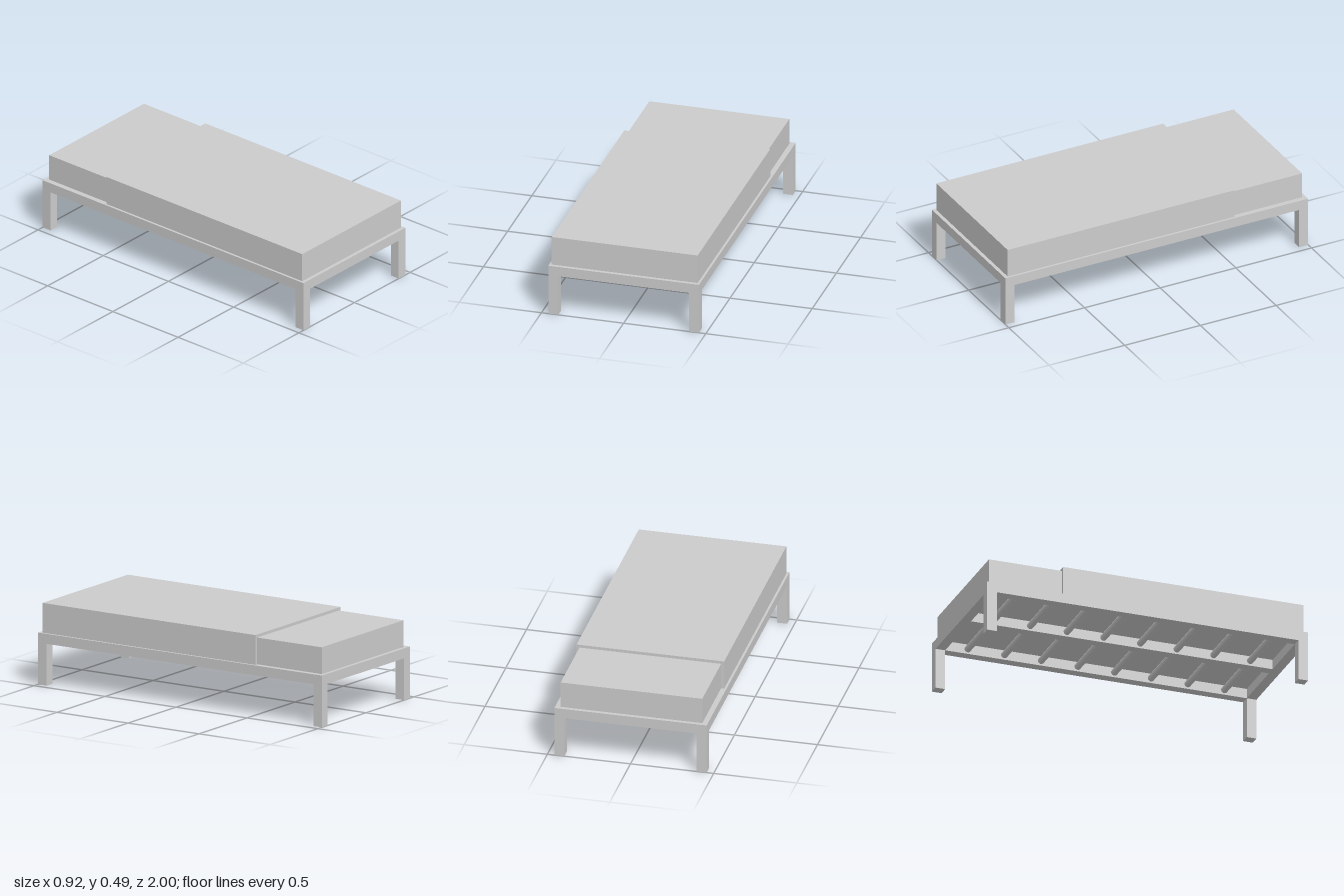
import * as THREE from 'three';

export function createModel() {
  const model = new THREE.Group();
  const mat = new THREE.MeshStandardMaterial({ color: 0xcccccc });

  const add = (name, geometry, x, y, z) => {
    const mesh = new THREE.Mesh(geometry, mat);
    mesh.name = name;
    mesh.position.set(x, y, z);
    model.add(mesh);
    return mesh;
  };
  // Box given by its minimum and maximum on each axis
  const box = (name, [x0, x1], [y0, y1], [z0, z1]) =>
    add(name, new THREE.BoxGeometry(x1 - x0, y1 - y0, z1 - z0),
      (x0 + x1) / 2, (y0 + y1) / 2, (z0 + z1) / 2);

  const W = 0.458, L = 1, T = 0.06;      // half width, half length, timber size
  const top = 0.31, under = top - T;     // frame heights
  const inX = W - T, inZ = L - T;

  // Legs, running up to the top of the frame
  for (const sx of [-1, 1]) for (const sz of [-1, 1]) {
    add(sz > 0 ? 'frontLeg' : 'backLeg', new THREE.BoxGeometry(T, top, T),
      sx * (W - T / 2), top / 2, sz * (L - T / 2));
  }

  // Rails between the legs and the middle beam
  box('leftRail', [inX, W], [under, top], [-inZ, inZ]);
  box('rightRail', [-W, -inX], [under, top], [-inZ, inZ]);
  box('frontRail', [-inX, inX], [under, top], [inZ, L]);
  box('backRail', [-inX, inX], [under, top], [-L, -inZ]);
  box('middleBeam', [-T / 2, T / 2], [under, top], [-inZ, inZ]);

  // Round slats on both sides of the beam
  const slats = 8, reach = 0.8, slatLength = inX - T / 2;
  for (let i = 0; i < slats; i++) {
    const z = -reach + (2 * reach * i) / (slats - 1);
    for (const s of [-1, 1]) {
      const geo = new THREE.CylinderGeometry(0.02, 0.02, slatLength, 24, 1, true);
      add('slat', geo.rotateZ(Math.PI / 2), s * (T / 2 + slatLength / 2), top - T / 2, z);
    }
  }

  // Mattress
  const mx = 0.426, my = 0.47, c = 0.018;  // c: cover thickness
  box('mattress', [-mx, mx], [top, my], [-0.977, 0.96]);

  // Cover wrapped over the top, sides and front end
  const u = new THREE.Shape([
    [-mx - c, top], [-mx, top], [-mx, my], [mx, my],
    [mx, top], [mx + c, top], [mx + c, my + c], [-mx - c, my + c],
  ].map(([x, y]) => new THREE.Vector2(x, y)));
  add('cover', new THREE.ExtrudeGeometry(u, { depth: 1.5, bevelEnabled: false }), 0, 0, -0.522);
  box('coverFront', [-mx, mx], [top, my], [0.96, 0.978]);

  return model;
}
